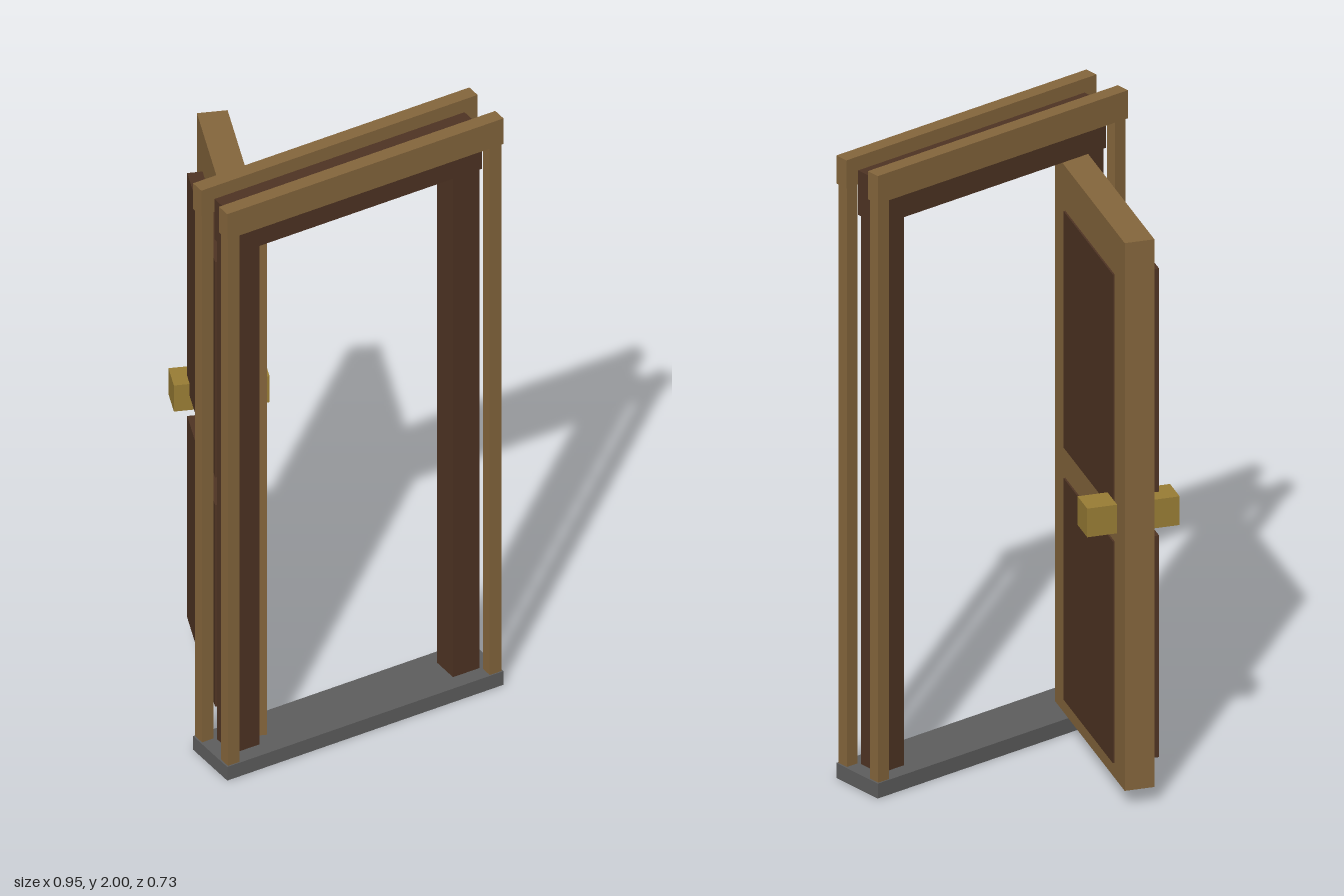
import * as THREE from 'three';

const material = (name, color) => {
  const m = new THREE.MeshStandardMaterial({ color });
  m.name = name;
  return m;
};

export function createModel() {
  const tan = material('tan wood', 0x85663c);
  const dark = material('dark wood', 0x4f3423);
  const stone = material('grey stone', 0x5e5e5e);
  const brass = material('brass', 0x997d35);

  // Box given by its minimum and maximum on each axis
  const box = (parent, name, mat, [x0, x1], [y0, y1], [z0, z1]) => {
    const mesh = new THREE.Mesh(new THREE.BoxGeometry(x1 - x0, y1 - y0, z1 - z0), mat);
    mesh.position.set((x0 + x1) / 2, (y0 + y1) / 2, (z0 + z1) / 2);
    mesh.name = name;
    parent.add(mesh);
  };

  const model = new THREE.Group();
  model.name = 'doorway';

  // Fixed frame: threshold, inner lining and casings on both faces
  const frame = new THREE.Group();
  frame.name = 'frame';
  model.add(frame);
  box(frame, 'threshold', stone, [-0.475, 0.475], [0, 0.048], [0.175, 0.365]);
  box(frame, 'headJamb', dark, [-0.43, 0.43], [1.812, 1.955], [0.221, 0.319]);
  box(frame, 'backHeader', tan, [-0.475, 0.475], [1.91, 2], [0.175, 0.221]);
  box(frame, 'frontHeader', tan, [-0.475, 0.475], [1.91, 2], [0.319, 0.365]);
  for (const [side, s] of [['left', 1], ['right', -1]]) {
    const span = (a, b) => (s > 0 ? [a, b] : [-b, -a]);
    box(frame, side + 'Jamb', dark, span(0.333, 0.424), [0.048, 1.812], [0.226, 0.314]);
    box(frame, side + 'BackCasing', tan, span(0.43, 0.47), [0.048, 1.91], [0.179, 0.217]);
    box(frame, side + 'FrontCasing', tan, span(0.43, 0.47), [0.048, 1.91], [0.323, 0.361]);
  }

  // Door leaf, swung open about its hinge edge
  const door = new THREE.Group();
  door.name = 'door';
  door.position.set(-0.333, 0, 0.271);
  door.rotation.y = 1.19;
  model.add(door);
  box(door, 'doorLeaf', tan, [0, 0.668], [0.052, 1.812], [-0.0455, 0.0455]);
  box(door, 'lowerPanel', dark, [0.1, 0.572], [0.1, 0.812], [-0.091, 0.051]);
  box(door, 'upperPanel', dark, [0.1, 0.572], [0.91, 1.67], [-0.091, 0.051]);
  box(door, 'frontKnob', brass, [0.53, 0.622], [0.861, 0.953], [0.054, 0.146]);
  box(door, 'backKnob', brass, [0.53, 0.622], [0.861, 0.953], [-0.138, -0.046]);

  return model;
}
